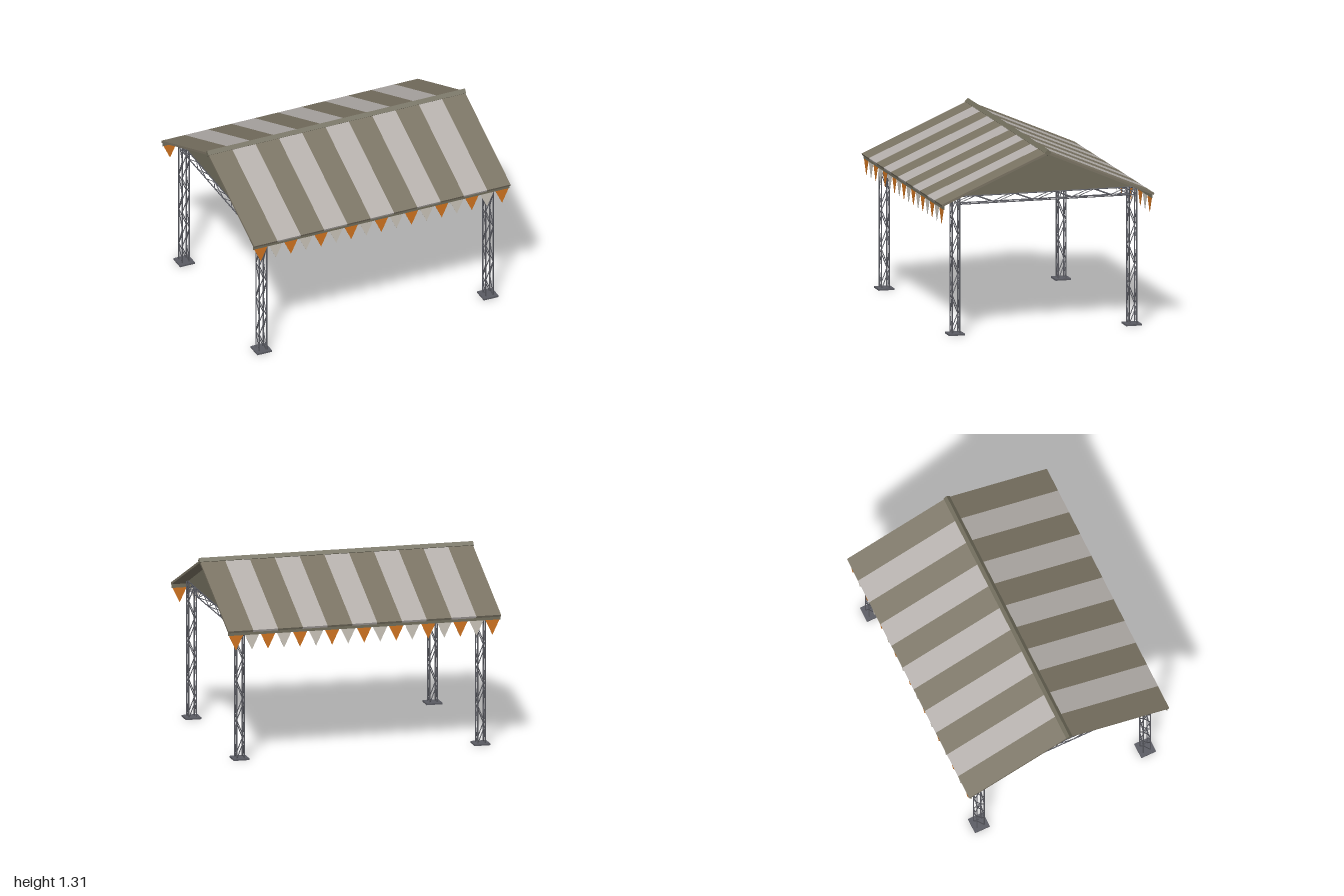
import * as THREE from 'three';
import { mergeGeometries } from 'three/addons/utils/BufferGeometryUtils.js';

const material = (name, color, side = THREE.FrontSide) => {
  const m = new THREE.MeshStandardMaterial({ color, side });
  m.name = name;
  return m;
};

// Round bar between two points
function bar(a, b, radius) {
  const dir = b.clone().sub(a);
  const geo = new THREE.CylinderGeometry(radius, radius, dir.length(), 6);
  geo.applyQuaternion(new THREE.Quaternion().setFromUnitVectors(new THREE.Vector3(0, 1, 0), dir.normalize()));
  return geo.translate((a.x + b.x) / 2, (a.y + b.y) / 2, (a.z + b.z) / 2);
}

// Square lattice truss from a to b; u and v are the half-width vectors of its section
function lattice(a, b, u, v, bays, chordRadius, webRadius) {
  const parts = [];
  const at = (t, su, sv) => a.clone().lerp(b, t).addScaledVector(u, su).addScaledVector(v, sv);
  for (const s of [-1, 1]) {
    for (const t of [-1, 1]) parts.push(bar(at(0, s, t), at(1, s, t), chordRadius));
    for (let i = 0; i < bays; i++) {
      const p = i % 2 ? -1 : 1;
      parts.push(bar(at(i / bays, p, s), at((i + 1) / bays, -p, s), webRadius));
      parts.push(bar(at(i / bays, s, p), at((i + 1) / bays, s, -p), webRadius));
    }
  }
  return mergeGeometries(parts);
}

export function createModel() {
  const model = new THREE.Group();
  model.name = 'marketCanopy';

  const metal = material('darkSteel', 0x5a5b62);
  const olive = material('oliveCanvas', 0x7a7363);
  const pale = material('paleCanvas', 0xb4afab);
  const trim = material('trimCanvas', 0x716d5c, THREE.DoubleSide);
  const orange = material('orangeFlag', 0xd07420, THREE.DoubleSide);
  const cream = material('creamFlag', 0xcbc5ba, THREE.DoubleSide);

  const add = (parent, name, geo, mat) => {
    const mesh = new THREE.Mesh(geo, mat);
    mesh.name = name;
    parent.add(mesh);
    return mesh;
  };
  const V = (x, y, z) => new THREE.Vector3(x, y, z);

  const postX = 0.879, postZ = 0.65, half = 0.028;
  const X = V(half, 0, 0), Y = V(0, half, 0), Z = V(0, 0, half);

  // Lattice posts on base plates
  for (const sx of [-1, 1]) for (const sz of [-1, 1]) {
    const x = sx * postX, z = sz * postZ;
    add(model, 'post', lattice(V(x, 0.005, z), V(x, 0.998, z), X, Z, 7, 0.005, 0.0035), metal);
    add(model, 'basePlate', new THREE.BoxGeometry(0.115, 0.012, 0.115).translate(x, 0.006, z), metal);
  }

  // Box trusses joining the post tops
  const beamY = 0.965;
  for (const s of [-1, 1]) {
    add(model, 'longTruss', lattice(V(-postX, beamY, s * postZ), V(postX, beamY, s * postZ),
      Z, Y.clone().negate(), 12, 0.004, 0.003), metal);
    add(model, 'endTruss', lattice(V(s * postX, beamY, postZ), V(s * postX, beamY, -postZ),
      X, Y.clone().negate(), 9, 0.004, 0.003), metal);
  }

  // Striped roof slopes
  const ridgeY = 1.295, eaveY = 0.958, eaveZ = 0.782, thick = 0.016;
  const slope = Math.atan2(ridgeY - eaveY, eaveZ);
  const slopeLength = Math.hypot(ridgeY - eaveY, eaveZ);
  const roofWidth = 1.99, stripes = 11, stripeWidth = roofWidth / stripes;
  for (const side of [0, 1]) {
    const roof = new THREE.Group();
    roof.name = side ? 'backRoof' : 'frontRoof';
    roof.rotation.y = side * Math.PI;
    model.add(roof);
    for (let i = 0; i < stripes; i++) {
      const geo = new THREE.BoxGeometry(stripeWidth, thick, slopeLength)
        .translate((i - (stripes - 1) / 2) * stripeWidth, -thick / 2, slopeLength / 2)
        .rotateX(slope)
        .translate(0, ridgeY, 0);
      add(roof, 'roofStripe', geo, i % 2 ? pale : olive);
    }

    // Eave band with a row of pennants
    add(roof, 'eaveBand', new THREE.BoxGeometry(roofWidth, 0.034, 0.005).translate(0, 0.939, 0.765), trim);
    const pennant = new THREE.Shape([[-0.052, 0.923], [0, 0.814], [0.052, 0.923]].map(p => new THREE.Vector2(...p)));
    for (let i = 0; i < 17; i++) {
      const geo = new THREE.ExtrudeGeometry(pennant, { depth: 0.003, bevelEnabled: false })
        .translate((i - 8) * 0.117, 0, 0.7635);
      add(roof, 'pennant', geo, i % 2 ? cream : orange);
    }
  }

  // Diamond ridge cap
  add(model, 'ridgeCap', new THREE.BoxGeometry(2, 0.034, 0.034).rotateX(Math.PI / 4).translate(0, 1.29, 0), trim);

  // Gable panels closing the ends
  const gable = new THREE.Shape([[-0.652, 0.992], [0.652, 0.992], [0, 1.277]].map(p => new THREE.Vector2(...p)));
  for (const s of [-1, 1]) {
    const geo = new THREE.ExtrudeGeometry(gable, { depth: 0.008, bevelEnabled: false })
      .translate(0, 0, -0.004).rotateY(Math.PI / 2).translate(s * 0.9, 0, 0);
    add(model, 'gablePanel', geo, trim);
  }

  return model;
}
